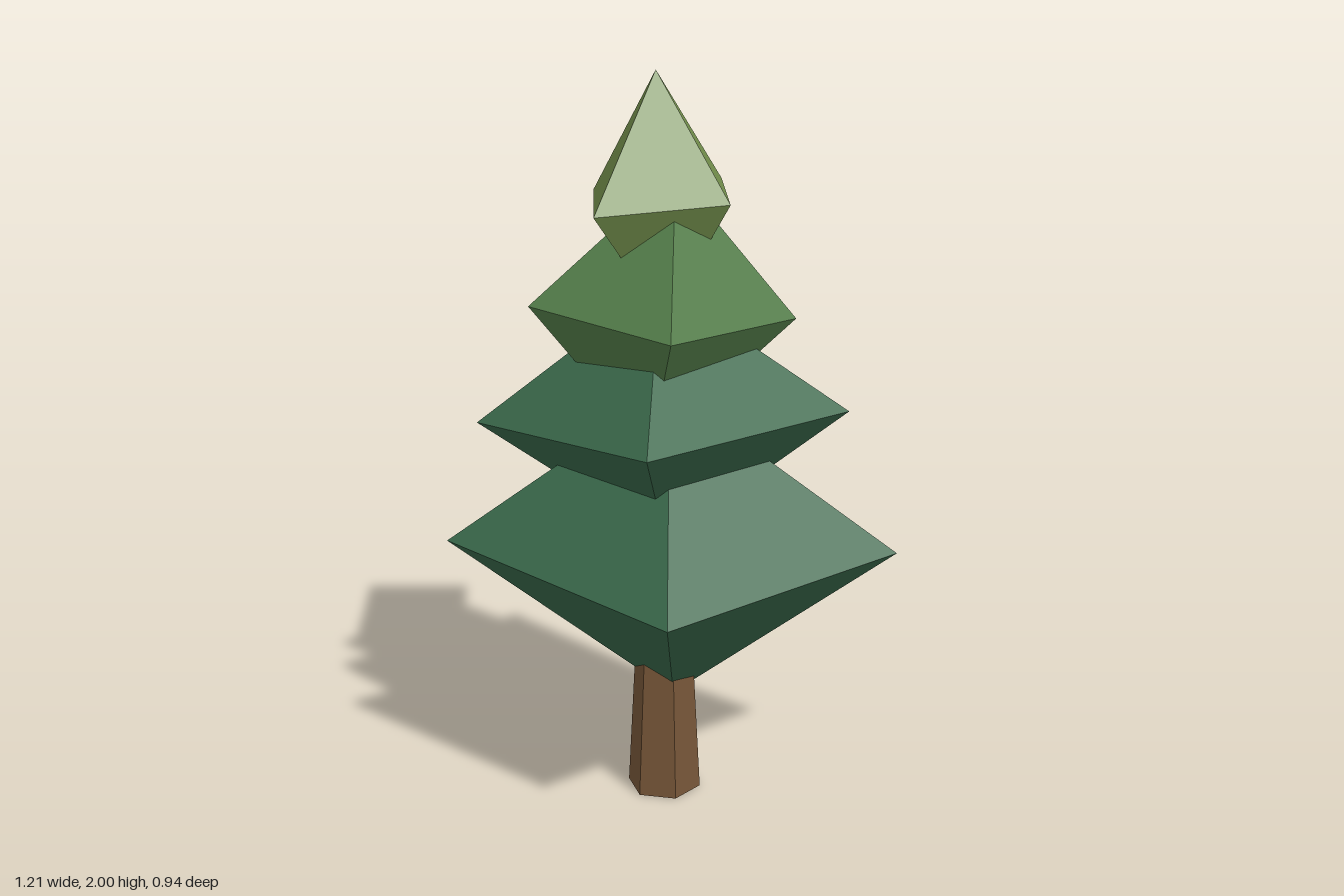
import * as THREE from 'three';

const flat = (name, color) => new THREE.MeshStandardMaterial({ name, color, flatShading: true });

// Skewed double pyramid: ring runs left, front, right, back
function tierGeometry(ring, top, bottom) {
  const points = [];
  ring.forEach((a, i) => {
    const b = ring[(i + 1) % ring.length];
    points.push(...a, ...b, ...top, ...b, ...a, ...bottom);
  });
  const geometry = new THREE.BufferGeometry();
  geometry.setAttribute('position', new THREE.Float32BufferAttribute(points, 3));
  geometry.computeVertexNormals();
  return geometry;
}

export function createModel() {
  const tree = new THREE.Group();
  tree.name = 'tree';

  const bark = flat('bark brown', 0x765638);
  const deepGreen = flat('deep green', 0x3a694b);
  const midGreen = flat('mid green', 0x557f4b);
  const lightGreen = flat('light green', 0x738f4c);

  // Six-sided tapered trunk, its top hidden in the lowest tier
  const trunk = new THREE.Mesh(new THREE.CylinderGeometry(0.077, 0.103, 0.5, 6, 1, false, Math.PI / 6), bark);
  trunk.name = 'trunk';
  trunk.position.set(-0.022, 0.25, 0);
  tree.add(trunk);

  // Foliage tiers from the bottom up
  const tiers = [
    { name: 'lowestFoliage', material: deepGreen, top: [0, 1.185, 0.03], bottom: [0, 0.275, -0.02],
      ring: [[-0.605, 0.735, 0.11], [0.087, 0.685, 0.47], [0.603, 0.71, -0.112], [-0.092, 0.76, -0.473]] },
    { name: 'lowerFoliage', material: deepGreen, top: [-0.045, 1.445, -0.06], bottom: [-0.02, 0.735, -0.01],
      ring: [[-0.533, 1.055, 0.033], [0.023, 1.11, 0.41], [0.462, 1.11, -0.102], [-0.092, 1.05, -0.467]] },
    { name: 'upperFoliage', material: midGreen, top: [0, 1.745, -0.045], bottom: [-0.065, 0.99, -0.03],
      ring: [[-0.373, 1.395, 0.06], [0.057, 1.375, 0.283], [0.31, 1.35, -0.13], [-0.12, 1.37, -0.355]] },
    { name: 'crownFoliage', material: lightGreen, top: [-0.06, 2, -0.085], bottom: [-0.04, 1.335, -0.09],
      ring: [[-0.254, 1.663, -0.188], [-0.168, 1.66, 0.158], [0.154, 1.675, 0.003], [0.068, 1.677, -0.336]] },
  ];
  for (const { name, material, ring, top, bottom } of tiers) {
    const mesh = new THREE.Mesh(tierGeometry(ring, top, bottom), material);
    mesh.name = name;
    tree.add(mesh);
  }
  return tree;
}
